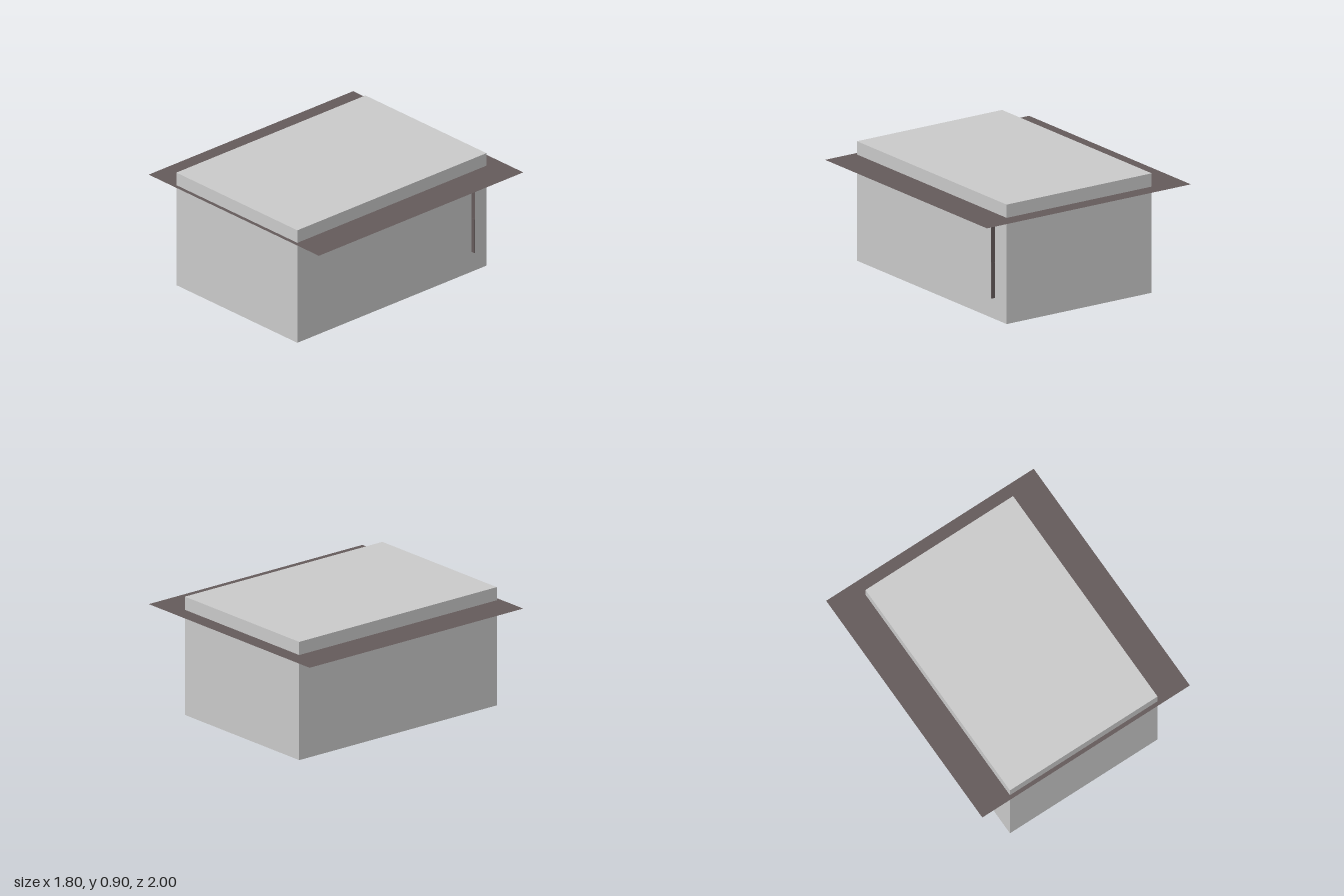
import * as THREE from 'three';

export function createModel() {
  const model = new THREE.Group();
  const wallGrey = new THREE.MeshStandardMaterial({ color: 0xcccccc });
  const sheetBrown = new THREE.MeshStandardMaterial({ color: 0x665c5c, side: THREE.DoubleSide });

  const add = (name, geometry, material, x, y, z) => {
    const mesh = new THREE.Mesh(geometry, material);
    mesh.name = name;
    mesh.position.set(x, y, z);
    model.add(mesh);
  };

  // Main block, set slightly towards the front
  add('body', new THREE.BoxGeometry(1.28, 0.9, 1.85), wallGrey, 0, 0.45, 0.045);

  // Paper-thin eave sheet running all round, just below the top
  add('eaveSheet', new THREE.PlaneGeometry(1.8, 2).rotateX(-Math.PI / 2), sheetBrown, 0, 0.8, 0);

  // Narrow fin on the left wall: thin sheet above, slightly thicker strip below
  add('upperFin', new THREE.PlaneGeometry(0.05, 0.37), sheetBrown, 0.648, 0.615, -0.735);
  add('lowerFin', new THREE.BoxGeometry(0.05, 0.27, 0.004), sheetBrown, 0.648, 0.295, -0.735);

  return model;
}
